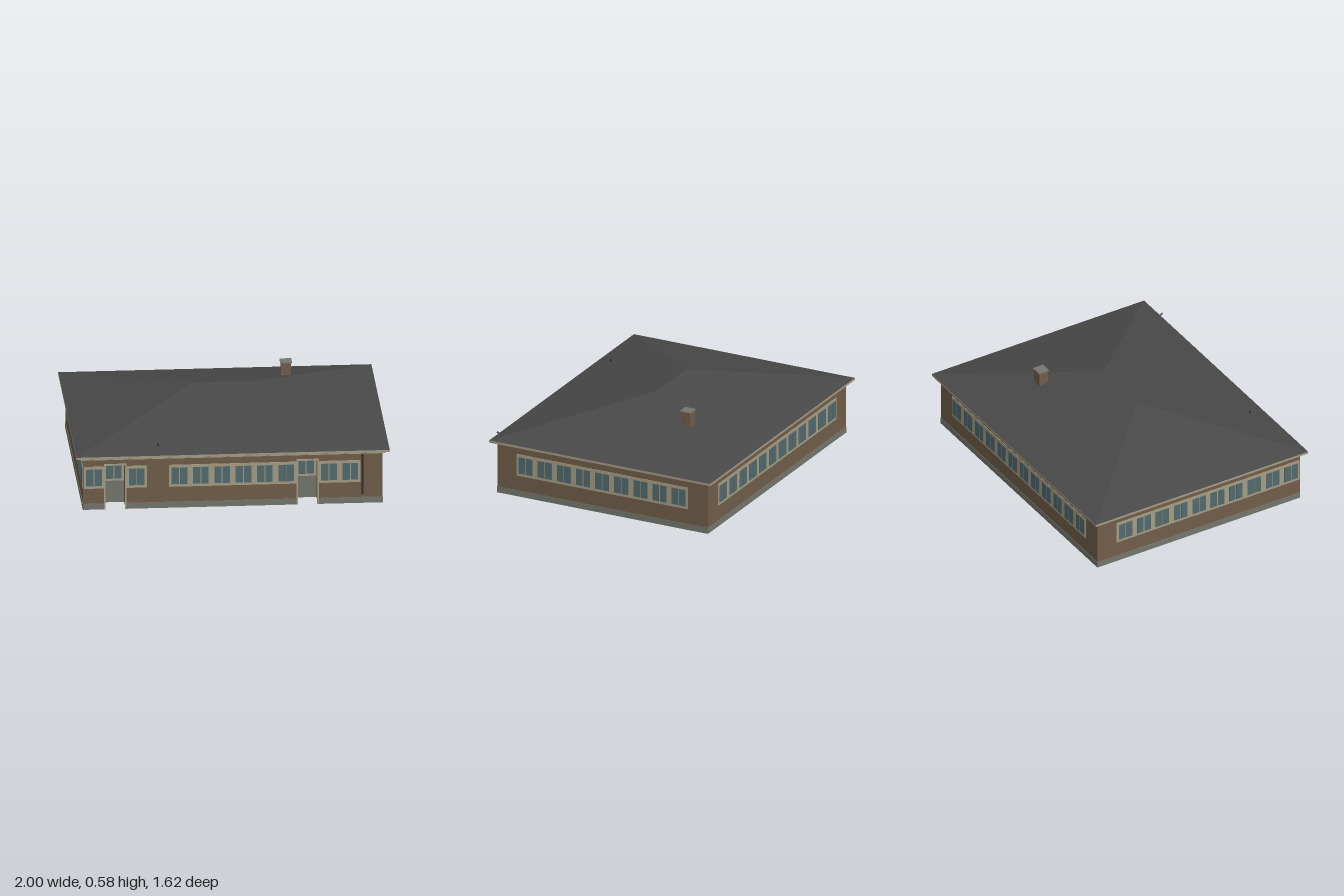
import * as THREE from 'three';
import { mergeGeometries } from 'three/addons/utils/BufferGeometryUtils.js';

const mat = (name, color, side = THREE.FrontSide) => {
  const m = new THREE.MeshStandardMaterial({ color, side });
  m.name = name;
  return m;
};

export function createModel() {
  const brick = mat('brick', 0x715d49);
  const cream = mat('cream trim', 0xa59d84);
  const glass = mat('glass', 0x526a6e);
  const stone = mat('grey stone', 0x74766c, THREE.DoubleSide);
  const slate = mat('slate', 0x484848);
  const iron = mat('dark iron', 0x38312b);

  // The plan is a grid of 14 by 11 cells.
  const NX = 14, NZ = 11, W = 1.91, D = 1.51, ZC = -0.015;
  const CX = W / NX, CZ = D / NZ, TOP = 0.335;
  const doors = [1, 10];
  const T = 0.006; // wall thickness

  const model = new THREE.Group();
  const house = new THREE.Group();
  house.name = 'house';
  house.position.z = ZC;
  model.add(house);

  // Box geometry given by its lower and upper limits
  const span = (x0, x1, y0, y1, z0, z1) =>
    new THREE.BoxGeometry(x1 - x0, y1 - y0, z1 - z0)
      .translate((x0 + x1) / 2, (y0 + y1) / 2, (z0 + z1) / 2);
  const add = (parent, name, material, ...geos) => {
    const m = new THREE.Mesh(geos.length > 1 ? mergeGeometries(geos) : geos[0], material);
    m.name = name;
    parent.add(m);
    return m;
  };

  // Two panes side by side, centred on x
  const panes = (x, z) => [-1, 1].map(s =>
    span(x + s * 0.0265 - 0.0235, x + s * 0.0265 + 0.0235, 0.16, 0.272, z, z + 0.003));

  // One outer wall: local x runs along it, local z points outwards
  function wall(name, turn, n, length, dist, strips, gaps = []) {
    const g = new THREE.Group();
    g.name = name;
    g.rotation.y = turn;
    house.add(g);
    const c = length / n, h = length / 2;
    const at = i => -h + i * c;

    // Brickwork with open doorways
    const s = new THREE.Shape();
    s.moveTo(-h, 0);
    gaps.forEach(i => {
      s.lineTo(at(i), 0);
      s.lineTo(at(i), 0.3);
      s.lineTo(at(i + 1), 0.3);
      s.lineTo(at(i + 1), 0);
    });
    s.lineTo(h, 0);
    s.lineTo(h, TOP);
    s.lineTo(-h, TOP);
    add(g, 'brickwork', brick,
      new THREE.ExtrudeGeometry(s, { depth: T, bevelEnabled: false }).translate(0, 0, dist - T));

    // Plinth pieces between the doorways
    const ends = [0, ...gaps.flatMap(i => [i, i + 1]), n];
    for (let k = 0; k < ends.length; k += 2)
      add(g, 'plinth', stone, span(at(ends[k]), at(ends[k + 1]), 0, 0.04, dist, dist + 0.003));

    // Window bands, one window in each cell
    strips.forEach(([a, b]) => {
      add(g, 'windowBand', cream, span(at(a) + 0.003, at(b) - 0.003, 0.142, 0.29, dist, dist + 0.004));
      const list = [];
      for (let i = a; i < b; i++) list.push(...panes(at(i + 0.5), dist + 0.004));
      add(g, 'windowPanes', glass, ...list);
    });
    return g;
  }

  const front = wall('frontWall', 0, NX, W, D / 2, [[0, 1], [2, 3], [4, 10], [11, 13]], doors);
  wall('leftWall', Math.PI / 2, NZ, D, W / 2, [[1, 10]]);
  wall('backWall', Math.PI, NX, W, D / 2, [[1, 13]]);
  wall('rightWall', -Math.PI / 2, NZ, D, W / 2, [[1, 11]]);

  // Recessed doors with a frame around each opening
  doors.forEach(i => {
    const x0 = -W / 2 + i * CX, x1 = x0 + CX, z = D / 2 - CZ + T, f = D / 2;
    const d = new THREE.Group();
    d.name = 'door';
    front.add(d);
    add(d, 'doorPanel', stone, span(x0, x1, 0, 0.145, z, z + 0.005));
    add(d, 'doorWindowFrame', cream, span(x0, x1, 0.145, 0.3, z, z + 0.005));
    add(d, 'doorPanes', glass, ...panes(x0 + CX / 2, z + 0.005));
    add(d, 'openingFrame', cream,
      span(x0 - 0.003, x0 + 0.006, 0, 0.306, f - T, f + 0.007),
      span(x1 - 0.006, x1 + 0.003, 0, 0.306, f - T, f + 0.007),
      span(x0, x1, 0.296, 0.306, f - T, f + 0.007));
  });

  // Hollow wall ring: inner faces and cross partitions, open below
  const hx = W / 2, hz = D / 2, ix = hx - CX, iz = hz - CZ;
  add(house, 'innerWalls', stone,
    span(-ix, ix, 0, TOP, iz, iz + T), span(-ix, ix, 0, TOP, -iz - T, -iz),
    span(ix, ix + T, 0, TOP, -iz, iz), span(-ix - T, -ix, 0, TOP, -iz, iz));
  const ribs = [];
  for (let i = 1; i < NX; i++) {
    const x = -hx + i * CX;
    ribs.push(span(x - 0.002, x + 0.002, 0, TOP, iz, hz - T),
      span(x - 0.002, x + 0.002, 0, TOP, -hz + T, -iz));
  }
  for (let k = 1; k < NZ; k++) {
    const z = -hz + k * CZ;
    ribs.push(span(ix, hx - T, 0, TOP, z - 0.002, z + 0.002),
      span(-hx + T, -ix, 0, TOP, z - 0.002, z + 0.002));
  }
  add(house, 'wallPartitions', brick, ...ribs);

  // Inner room walls as open shafts, with floor in all other cells
  const isShaft = (i, k) => (i === 5 && k >= 3 && k <= 7) || (i === 8 && k >= 2 && k <= 5) ||
    (k === 5 && i >= 8 && i <= 11) || (i === 10 && k >= 7);
  const floor = [], shafts = [];
  for (let i = 1; i < NX - 1; i++) for (let k = 1; k < NZ - 1; k++) {
    const x = hx - (i + 0.5) * CX, z = -hz + (k + 0.5) * CZ;
    if (isShaft(i, k)) {
      shafts.push(new THREE.CylinderGeometry(CX / Math.SQRT2, CX / Math.SQRT2, TOP, 4, 1, true)
        .rotateY(Math.PI / 4).translate(x, TOP / 2, z));
    } else floor.push(new THREE.BoxGeometry(CX, 0.006, CZ).translate(x, 0.003, z));
  }
  add(house, 'floor', brick, ...floor);
  add(house, 'roomWalls', stone, ...shafts);

  // Cornice, eaves and hipped roof
  const X = 1, Z0 = -0.81, Z1 = 0.775, E = 0.366;
  add(model, 'cornice', cream, span(-hx - 0.008, hx + 0.008, TOP, 0.352, ZC - hz - 0.008, ZC + hz + 0.008));
  add(model, 'soffit', brick, span(-X + 0.004, X - 0.004, 0.349, 0.354, Z0 + 0.004, Z1 - 0.004));
  add(model, 'fascia', cream, span(-X, X, 0.351, E, Z0, Z1));

  const A = [-X, E, Z1], B = [X, E, Z1], C = [X, E, Z0], F = [-X, E, Z0];
  const L = [-0.205, 0.566, ZC], R = [0.205, 0.566, ZC];
  const faces = [A, B, R, A, R, L, B, C, R, C, F, L, C, L, R, F, A, L];
  const roof = new THREE.BufferGeometry();
  roof.setAttribute('position', new THREE.Float32BufferAttribute(faces.flat(), 3));
  roof.computeVertexNormals();
  add(model, 'roof', slate, roof);

  // Chimney with a flat cap
  add(model, 'chimney', brick, span(0.387, 0.451, 0.4, 0.57, -0.382, -0.318));
  add(model, 'chimneyCap', stone, span(0.381, 0.457, 0.57, 0.577, -0.388, -0.312));

  // Small roof vent
  add(model, 'roofVent', iron, new THREE.CylinderGeometry(0.005, 0.005, 0.03, 8).translate(-0.47, 0.395, 0.665));

  // Drainpipe with a sloping spout
  const path = new THREE.CurvePath();
  const p = [[0.06, 0.746], [0.328, 0.746], [0.356, 0.808]].map(([y, z]) => new THREE.Vector3(0.828, y, z));
  path.add(new THREE.LineCurve3(p[0], p[1]));
  path.add(new THREE.LineCurve3(p[1], p[2]));
  add(model, 'drainpipe', iron, new THREE.TubeGeometry(path, 40, 0.005, 8));

  return model;
}
